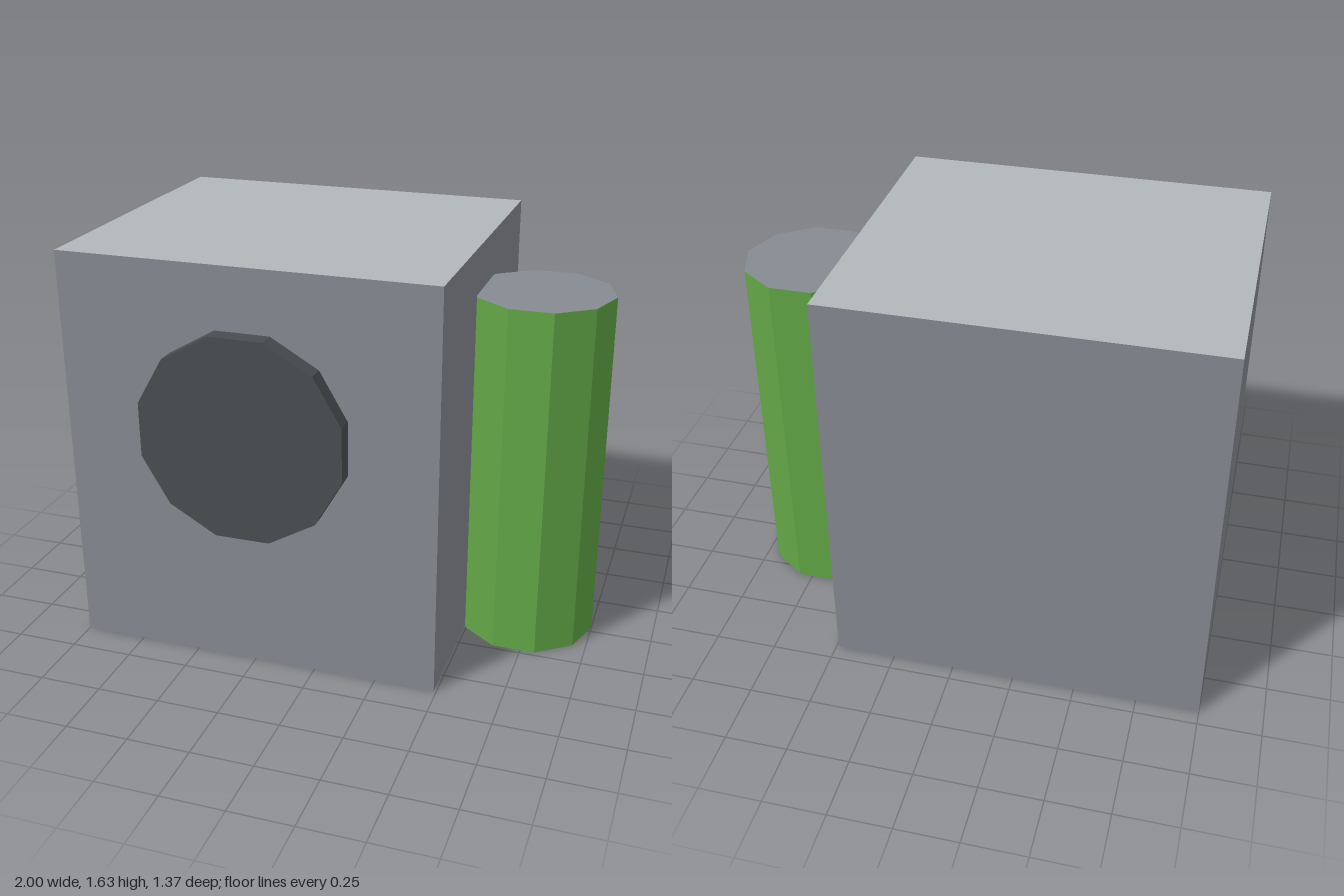
import * as THREE from 'three';

function material(name, color) {
  return new THREE.MeshStandardMaterial({ name, color, flatShading: true, side: THREE.DoubleSide });
}

export function createModel() {
  const wallGrey = material('wallGrey', 0x868a92);
  const roofGrey = material('roofGrey', 0xb2b7ba);
  const green = material('green', 0x62a746);
  const charcoal = material('charcoal', 0x4a4e51);

  const model = new THREE.Group();
  const add = (name, geometry, mat, x, y, z, parent = model) => {
    const mesh = new THREE.Mesh(geometry, mat);
    mesh.name = name;
    mesh.position.set(x, y, z);
    parent.add(mesh);
    return mesh;
  };

  // Box body: four walls and a roof, open underneath
  const W = 1.49, H = 1.63, D = 1.3;
  const body = new THREE.Group();
  body.name = 'body';
  body.position.set(-0.255, 0, -0.035);
  model.add(body);
  const walls = [
    ['frontWall', W, 0, D / 2, 0],
    ['leftWall', D, W / 2, 0, Math.PI / 2],
    ['backWall', W, 0, -D / 2, Math.PI],
    ['rightWall', D, -W / 2, 0, -Math.PI / 2],
  ];
  for (const [name, width, x, z, turn] of walls) {
    add(name, new THREE.PlaneGeometry(width, H), wallGrey, x, H / 2, z, body).rotation.y = turn;
  }
  add('roof', new THREE.PlaneGeometry(W, D), roofGrey, 0, H, 0, body).rotation.x = -Math.PI / 2;

  // Ten-sided tank beside the body, green sides with grey ends
  const tank = new THREE.CylinderGeometry(0.278, 0.278, 1.445, 10, 1, false, Math.PI / 10);
  add('sideTank', tank, [green, wallGrey, wallGrey], 0.722, 0.7225, -0.035);

  // Twelve-sided disc on the front wall
  const disc = new THREE.CylinderGeometry(0.417, 0.417, 0.07, 12, 1, false, Math.PI / 12);
  add('frontDisc', disc, charcoal, -0.258, 0.98, 0.651).rotation.x = Math.PI / 2;

  return model;
}
